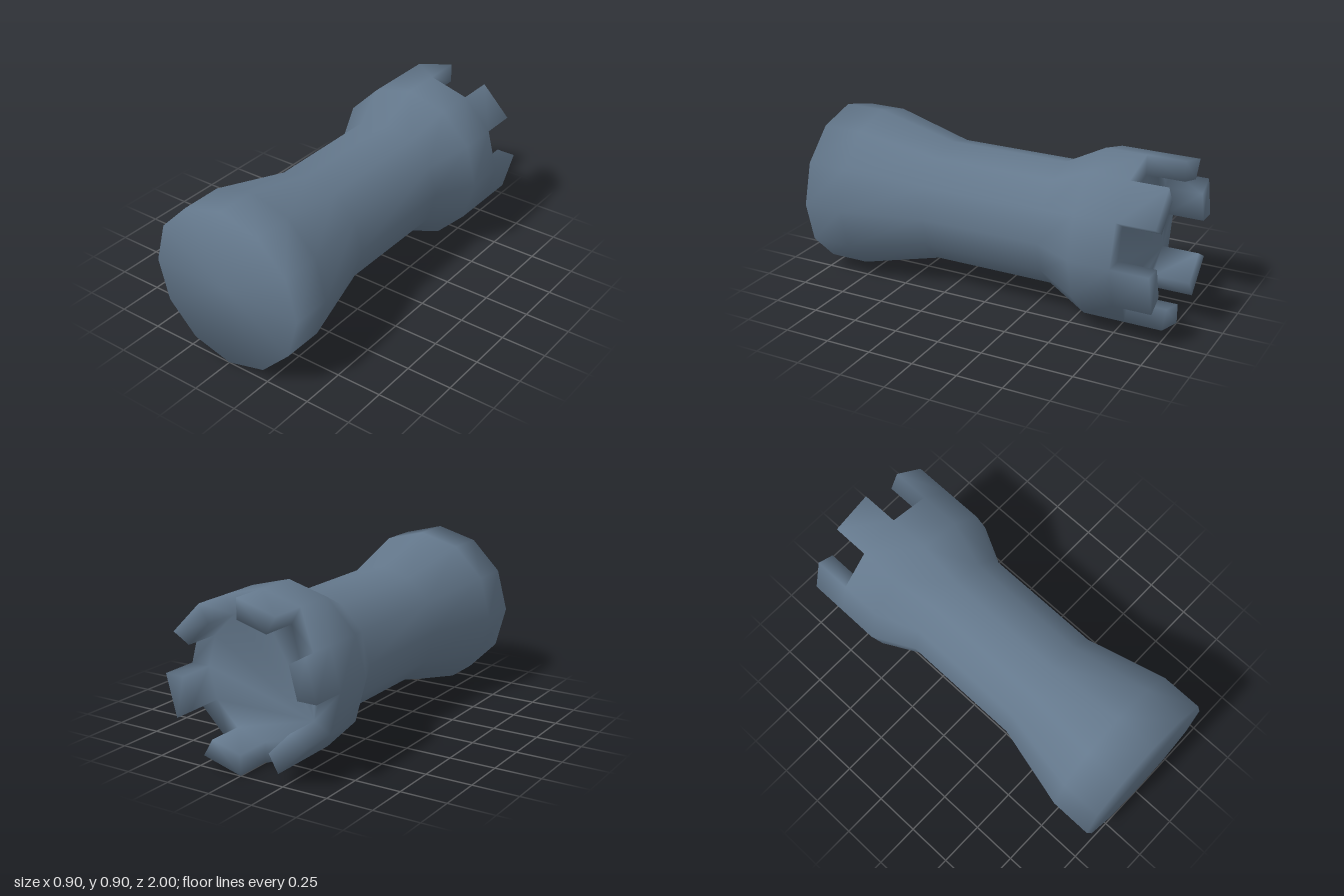
import * as THREE from 'three';

const SIDES = 12, R = 0.448, SHAFT_R = 0.335, INNER_R = 0.34;

export function createModel() {
  const group = new THREE.Group();
  const slate = new THREE.MeshStandardMaterial({ color: 0x64788c });
  slate.name = 'slate blue';

  // Rings along the z axis: [z, radius]
  const rings = [
    [1, R], [0.775, R], [0.33, SHAFT_R], [-0.35, SHAFT_R], [-0.57, R], [-0.795, R], [-1, R], // outside
    [-0.795, INNER_R], [-1, INNER_R], // inside of the crown
  ];
  const FLOOR = 5, TOP = 6, IN_FLOOR = 7, IN_TOP = 8;
  const positions = [];
  for (const [z, r] of rings) {
    for (let j = 0; j < SIDES; j++) {
      const a = (j / SIDES) * Math.PI * 2;
      positions.push(r * Math.cos(a), R + r * Math.sin(a), z);
    }
  }
  const centre = positions.length / 3;
  positions.push(0, R, 1);

  const at = (ring, j) => ring * SIDES + (j % SIDES);
  const quad = (list, a, b, c, d) => list.push(a, b, c, a, c, d);
  // Wall between two rings over one side
  const wall = (list, from, to, j) =>
    quad(list, at(from, j), at(to, j), at(to, j + 1), at(from, j + 1));

  const parts = { base: [], shaft: [], crown: [], crownFloor: [], merlons: [] };
  for (let j = 0; j < SIDES; j++) {
    // Closed foot, flared base, shaft and widening crown
    parts.base.push(centre, at(0, j), at(0, j + 1));
    wall(parts.base, 0, 1, j);
    wall(parts.base, 1, 2, j);
    wall(parts.shaft, 2, 3, j);
    wall(parts.crown, 3, 4, j);
    wall(parts.crown, 4, 5, j);

    // Recessed floor, fanned from one corner
    const apex = 7;
    if (j !== apex && (j + 1) % SIDES !== apex) {
      parts.crownFloor.push(at(IN_FLOOR, apex), at(IN_FLOOR, j + 1), at(IN_FLOOR, j));
    }

    if (j % 2 === 0) {
      // Notch bottom
      wall(parts.crownFloor, FLOOR, IN_FLOOR, j);
    } else {
      // Merlon: outer wall, top, inner wall and both ends
      const k = j + 1;
      wall(parts.merlons, FLOOR, TOP, j);
      wall(parts.merlons, TOP, IN_TOP, j);
      wall(parts.merlons, IN_TOP, IN_FLOOR, j);
      quad(parts.merlons, at(FLOOR, j), at(IN_FLOOR, j), at(IN_TOP, j), at(TOP, j));
      quad(parts.merlons, at(TOP, k), at(IN_TOP, k), at(IN_FLOOR, k), at(FLOOR, k));
    }
  }

  // Normals are smoothed over the whole surface, then shared by the parts
  const whole = new THREE.BufferGeometry();
  whole.setAttribute('position', new THREE.Float32BufferAttribute(positions, 3));
  whole.setIndex(Object.values(parts).flat());
  whole.computeVertexNormals();

  for (const [name, index] of Object.entries(parts)) {
    const geometry = whole.clone();
    geometry.setIndex(index);
    const mesh = new THREE.Mesh(geometry, slate);
    mesh.name = name;
    group.add(mesh);
  }
  group.name = 'castleTower';
  return group;
}
